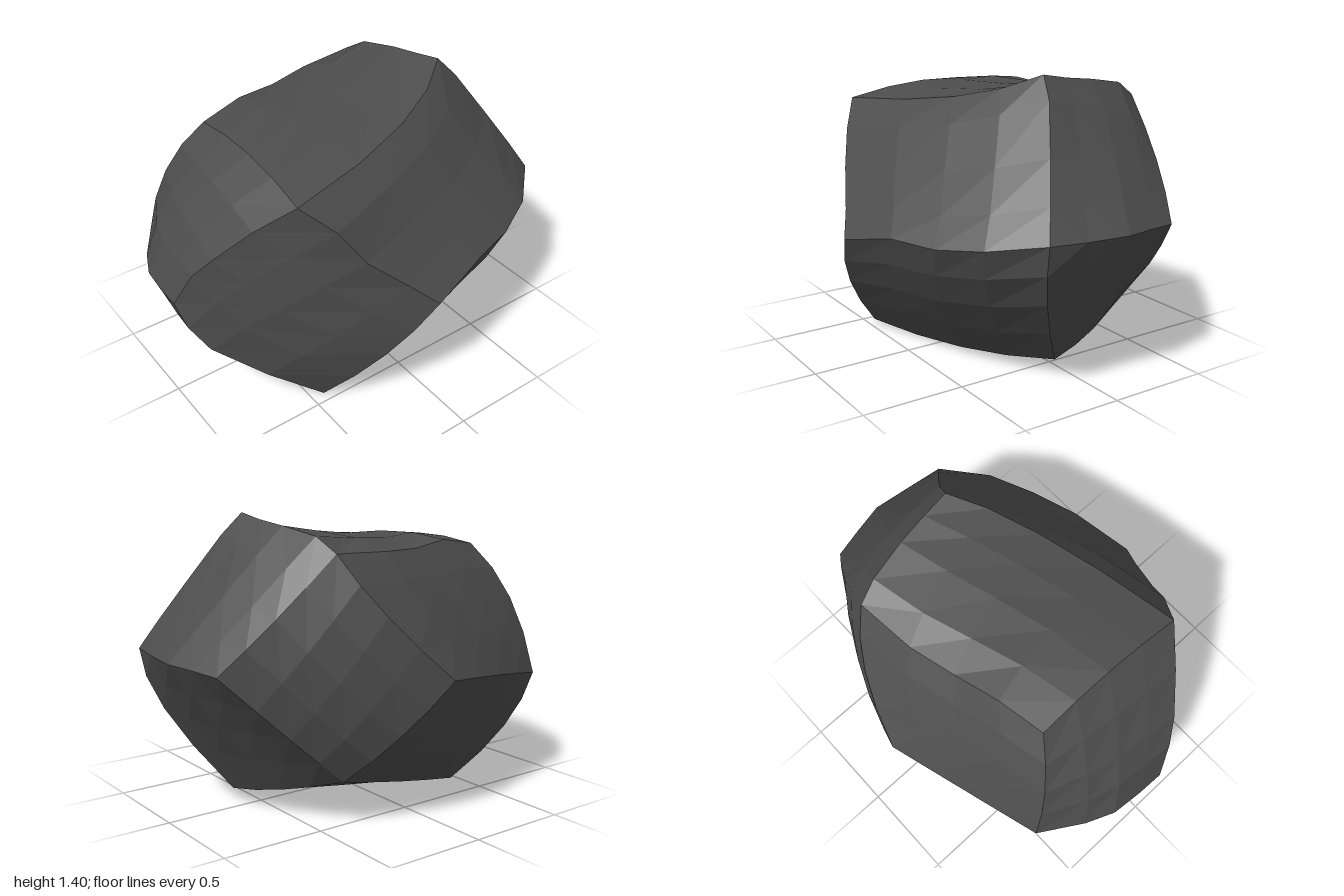
import * as THREE from 'three';

// Corner points of the twelve-sided boulder
const corners = {
  A: [0.53, 1.4, 0.08], B: [-0.575, 1.19, 0.48], C: [-0.56, 1.225, -0.33], D: [0.43, 1.25, -0.53],
  E: [-0.03, 0.62, 0.81], F: [0.95, 0.76, 0.35], G: [0.93, 0.74, -0.35],
  H: [-0.44, 0.01, 0.46], I: [0.62, 0.07, 0.06], J: [0.4, 0.22, -0.54], K: [-0.44, 0.015, -0.35],
  L: [-0.02, 0.68, -0.81], M: [-0.79, 0.57, -0.57], N: [-1, 0.6, 0.07],
};

// Ridges: one midpoint for an even bow, or three quarter points for an uneven one
const ridges = {
  AB: [[0.13, 1.27, 0.3]],
  BC: [[-0.56, 1.25, 0.07]],
  CD: [[-0.33, 1.26, -0.38], [-0.1, 1.235, -0.44], [0.13, 1.24, -0.5]],
  AD: [[0.52, 1.375, -0.06], [0.5, 1.355, -0.22], [0.46, 1.32, -0.42]],
  AF: [[0.62, 1.3, 0.115], [0.76, 1.08, 0.21], [0.87, 0.9, 0.29]],
  BE: [[-0.44, 1.06, 0.58], [-0.33, 0.89, 0.65], [-0.15, 0.73, 0.74]],
  EF: [[0.28, 0.69, 0.73], [0.53, 0.69, 0.65], [0.75, 0.72, 0.54]],
  FG: [[0.975, 0.755, 0.17], [1, 0.755, -0.04], [0.965, 0.75, -0.2]],
  DG: [[0.7, 0.98, -0.46]],
  EH: [[-0.24, 0.33, 0.69]],
  HI: [[0.12, 0.005, 0.27]],
  FI: [[0.86, 0.46, 0.29]],
  GJ: [[0.65, 0.45, -0.49]],
  IJ: [[0.54, 0.13, -0.24]],
  JK: [[-0.02, 0.11, -0.445]],
  HK: [[-0.45, 0, 0.25], [-0.47, 0, 0.05], [-0.49, 0.005, -0.2]],
  DL: [[0.27, 0.98, -0.69]],
  LM: [[-0.41, 0.63, -0.69]],
  CM: [[-0.72, 0.95, -0.46]],
  MN: [[-0.92, 0.58, -0.36], [-0.98, 0.585, -0.22], [-0.995, 0.59, -0.06]],
  KM: [[-0.68, 0.29, -0.49]],
  BN: [[-0.73, 1.06, 0.36], [-0.87, 0.9, 0.24], [-0.94, 0.79, 0.16]],
  HN: [[-0.69, 0.2, 0.36], [-0.9, 0.36, 0.2], [-0.97, 0.48, 0.13]],
  JL: [[0.22, 0.44, -0.72]],
};

// Four ridges enclose each facet
const facets = ['ABCD', 'ABEF', 'AFGD', 'EFIH', 'FGJI', 'IJKH', 'DGJL', 'CDLM', 'LJKM', 'BCMN', 'BEHN', 'NMKH'];
const STEPS = 4;
const CENTRE = new THREE.Vector3(0, 0.68, 0);

const corner = (n) => new THREE.Vector3(...corners[n]);

// Point at quarter step i of the ridge from corner p to corner q
function ridgePoint(p, q, i) {
  if (p > q) return ridgePoint(q, p, STEPS - i);
  const points = ridges[p + q];
  if (points.length === 3) {
    return new THREE.Vector3(...[corners[p], ...points, corners[q]][i]);
  }
  const t = i / STEPS;
  return corner(p).multiplyScalar((1 - t) * (1 - 2 * t))
    .addScaledVector(new THREE.Vector3(...points[0]), 4 * t * (1 - t))
    .addScaledVector(corner(q), t * (2 * t - 1));
}

// Surface blended between the four ridges of a facet
function facetPoint([p, q, r, s], i, j) {
  const u = i / STEPS, v = j / STEPS;
  return ridgePoint(p, q, i).multiplyScalar(1 - v)
    .addScaledVector(ridgePoint(s, r, i), v)
    .addScaledVector(ridgePoint(p, s, j), 1 - u)
    .addScaledVector(ridgePoint(q, r, j), u)
    .addScaledVector(corner(p), -(1 - u) * (1 - v))
    .addScaledVector(corner(q), -u * (1 - v))
    .addScaledVector(corner(r), -u * v)
    .addScaledVector(corner(s), -(1 - u) * v);
}

// Corner order that makes the facet face outward
function outward(name) {
  const [p, q, r, s] = [...name];
  const normal = corner(r).sub(corner(p)).cross(corner(s).sub(corner(q)));
  const out = corner(p).add(corner(r)).multiplyScalar(0.5).sub(CENTRE);
  return normal.dot(out) > 0 ? [p, q, r, s] : [s, r, q, p];
}

export function createModel() {
  const positions = [];
  for (const name of facets) {
    const loop = outward(name);
    for (let i = 0; i < STEPS; i++) {
      for (let j = 0; j < STEPS; j++) {
        const a = facetPoint(loop, i, j), b = facetPoint(loop, i + 1, j);
        const c = facetPoint(loop, i + 1, j + 1), d = facetPoint(loop, i, j + 1);
        for (const p of [a, b, c, a, c, d]) positions.push(p.x, p.y, p.z);
      }
    }
  }
  const geometry = new THREE.BufferGeometry();
  geometry.setAttribute('position', new THREE.Float32BufferAttribute(positions, 3));
  geometry.computeVertexNormals();

  const boulder = new THREE.Mesh(geometry, new THREE.MeshStandardMaterial({ color: 0x4d4d4d, flatShading: true }));
  boulder.name = 'boulder';
  const group = new THREE.Group();
  group.name = 'rock';
  group.add(boulder);
  return group;
}
